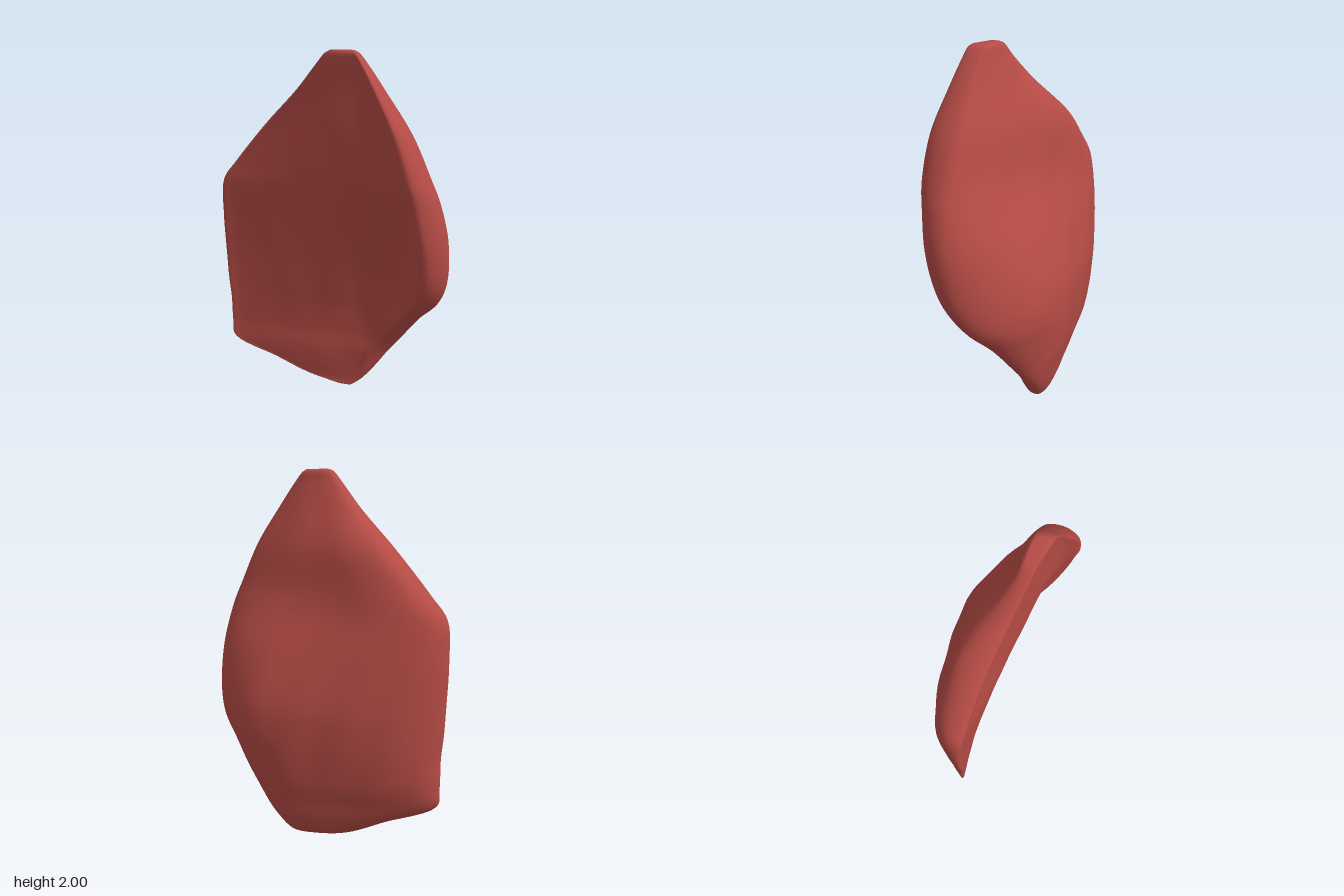
import * as THREE from 'three';

// Level rows, bottom to top:
// [y, left x, left z, right x, right z, front rim z, back z, hollow depth]
const LEVELS = [
  [0.00, 0.05, -0.12, 0.13, -0.12, -0.10, -0.14, 0],
  [0.04, -0.14, -0.18, 0.20, -0.15, -0.09, -0.21, 0],
  [0.13, -0.34, -0.22, 0.28, -0.15, -0.07, -0.265, 0],
  [0.25, -0.60, -0.27, 0.36, -0.12, -0.04, -0.315, 0.01],
  [0.36, -0.61, -0.27, 0.43, -0.07, 0.00, -0.35, 0.03],
  [0.52, -0.61, -0.26, 0.52, 0.01, 0.10, -0.375, 0.075],
  [0.65, -0.62, -0.26, 0.60, 0.10, 0.21, -0.385, 0.115],
  [0.80, -0.625, -0.26, 0.63, 0.18, 0.305, -0.39, 0.14],
  [1.05, -0.63, -0.25, 0.615, 0.23, 0.375, -0.38, 0.115],
  [1.26, -0.615, -0.23, 0.56, 0.25, 0.395, -0.35, 0.08],
  [1.38, -0.53, -0.19, 0.51, 0.25, 0.40, -0.315, 0.06],
  [1.60, -0.35, -0.09, 0.41, 0.23, 0.37, -0.22, 0.035],
  [1.80, -0.17, 0.03, 0.28, 0.19, 0.30, -0.05, 0.02],
  [1.93, -0.07, 0.10, 0.19, 0.16, 0.25, 0.04, 0.005],
  [1.985, -0.025, 0.13, 0.145, 0.14, 0.225, 0.07, 0],
  [2.00, 0.00, 0.14, 0.12, 0.14, 0.20, 0.09, 0],
];
const AROUND = 96, UP = 90;

// One closed cross-section: left edge, hollow front, narrow right rim, bulging back
function section([y, xl, zl, xr, zr, zf, zb, hollow]) {
  const w = xr - xl, mix = THREE.MathUtils.lerp, rim = 0.88;
  // Towards the tip the back flattens and the left edge turns blunt
  const high = THREE.MathUtils.smoothstep(y, 0.7, 1.5);
  const front = (t, dip) => [xl + w * rim * t, mix(zl, zf, t) - dip * hollow];
  const back = (t, low, up, from) => [xl + w * t, mix(zb, from, mix(low, up, high))];
  const points = [
    [xl, zl], front(0.06, 0.02), front(0.3, 0.15), front(0.58, 0.6), front(0.78, 1), front(0.92, 0.65),
    [xl + w * rim, zf], [xl + w * 0.965, mix(zr, zf, 0.65)], [xr, zr],
    back(0.965, 0.7, 0.87, zr), back(0.82, 0.33, 0.64, zr), back(0.55, 0.1, 0.32, zr),
    back(0.28, 0, 0.06, zr), back(0.1, 0.22, 0.03, zl), back(0.02, 0.68, 0.4, zl),
  ].map(([x, z]) => new THREE.Vector3(x, y, z));
  return new THREE.CatmullRomCurve3(points, true).getPoints(AROUND).slice(0, AROUND);
}

function buildSlab() {
  // Smooth columns through the cross-sections
  const rings = LEVELS.map(section);
  const columns = Array.from({ length: AROUND }, (_, j) =>
    new THREE.CatmullRomCurve3(rings.map((ring) => ring[j])).getPoints(UP));

  const positions = [], index = [];
  for (let i = 0; i <= UP; i++) {
    const fade = Math.sin((Math.PI * i) / UP);
    for (let j = 0; j < AROUND; j++) {
      const p = columns[j][i];
      // Faint slanting grain on the back, fainter on the front
      const onBack = j / AROUND > 0.55;
      const grain = Math.sin(p.x * 24 + p.y * 11 + Math.sin(p.y * 5) * 1.5);
      const edge = Math.sin((Math.PI * j) / AROUND);
      positions.push(p.x, Math.max(0, Math.min(2, p.y)), p.z + grain * fade * edge * (onBack ? 0.005 : 0.002));
    }
  }
  for (let i = 0; i < UP; i++) {
    for (let j = 0; j < AROUND; j++) {
      const k = (j + 1) % AROUND;
      const a = i * AROUND + j, b = i * AROUND + k;
      index.push(a, b, b + AROUND, a, b + AROUND, a + AROUND);
    }
  }
  // Close the bottom and the tip
  const bottom = positions.length / 3, top = bottom + 1, last = UP * AROUND;
  positions.push(0.09, 0, -0.12, 0.06, 2, 0.14);
  for (let j = 0; j < AROUND; j++) {
    const k = (j + 1) % AROUND;
    index.push(bottom, k, j, top, last + j, last + k);
  }
  const geometry = new THREE.BufferGeometry();
  geometry.setAttribute('position', new THREE.Float32BufferAttribute(positions, 3));
  geometry.setIndex(index);
  geometry.computeVertexNormals();
  return geometry;
}

export function createModel() {
  const group = new THREE.Group();
  group.name = 'slab';
  const red = new THREE.MeshStandardMaterial({ color: 0xb54b45 });
  red.name = 'dull red';
  const body = new THREE.Mesh(buildSlab(), red);
  body.name = 'body';
  group.add(body);
  return group;
}
